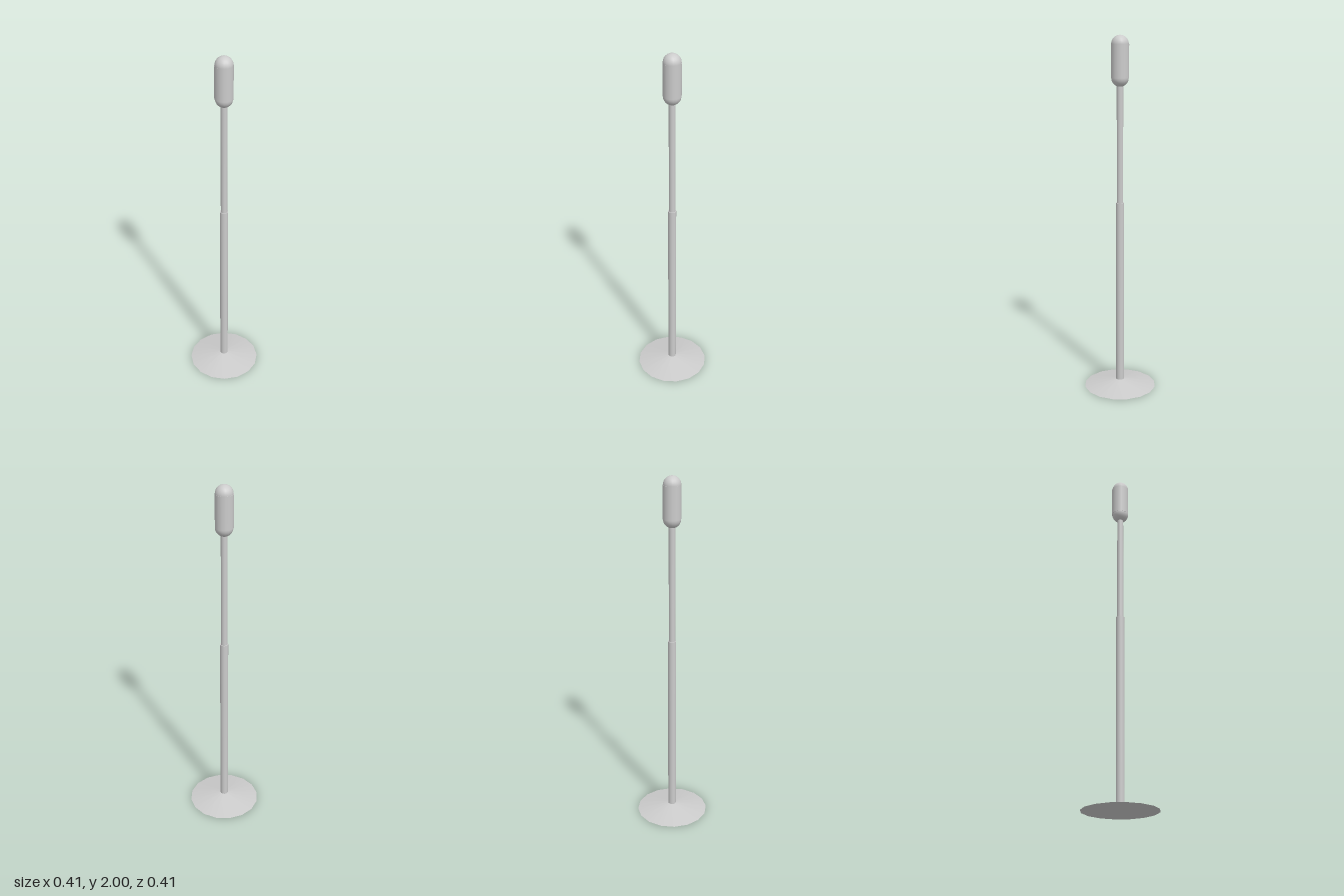
import * as THREE from 'three';

export function createModel() {
  const model = new THREE.Group();
  const material = new THREE.MeshStandardMaterial({ color: 0xcccccc });

  const add = (name, geometry, y) => {
    const mesh = new THREE.Mesh(geometry, material);
    mesh.name = name;
    mesh.position.y = y;
    model.add(mesh);
    return mesh;
  };
  // Upright round rod between two heights
  const rod = (name, radius, y0, y1, open = false) =>
    add(name, new THREE.CylinderGeometry(radius, radius, y1 - y0, 16, 1, open), (y0 + y1) / 2);

  // Shallow conical foot
  add('base', new THREE.ConeGeometry(0.206, 0.04, 16), 0.02);

  // Telescoping stand
  rod('lowerPole', 0.023, 0.01, 1.09);
  rod('upperPole', 0.018, 1.08, 1.76);

  // Microphone head: barrel with a dome at each end
  const capRadius = 0.048, bottom = 1.775, top = 1.952;
  rod('microphoneBody', 0.049, bottom, top).position.x = -0.001;
  const dome = () => new THREE.SphereGeometry(capRadius, 16, 8, 0, Math.PI * 2, 0, Math.PI / 2);
  add('microphoneTop', dome(), top);
  add('microphoneBottom', dome(), bottom).rotation.x = Math.PI;

  return model;
}
